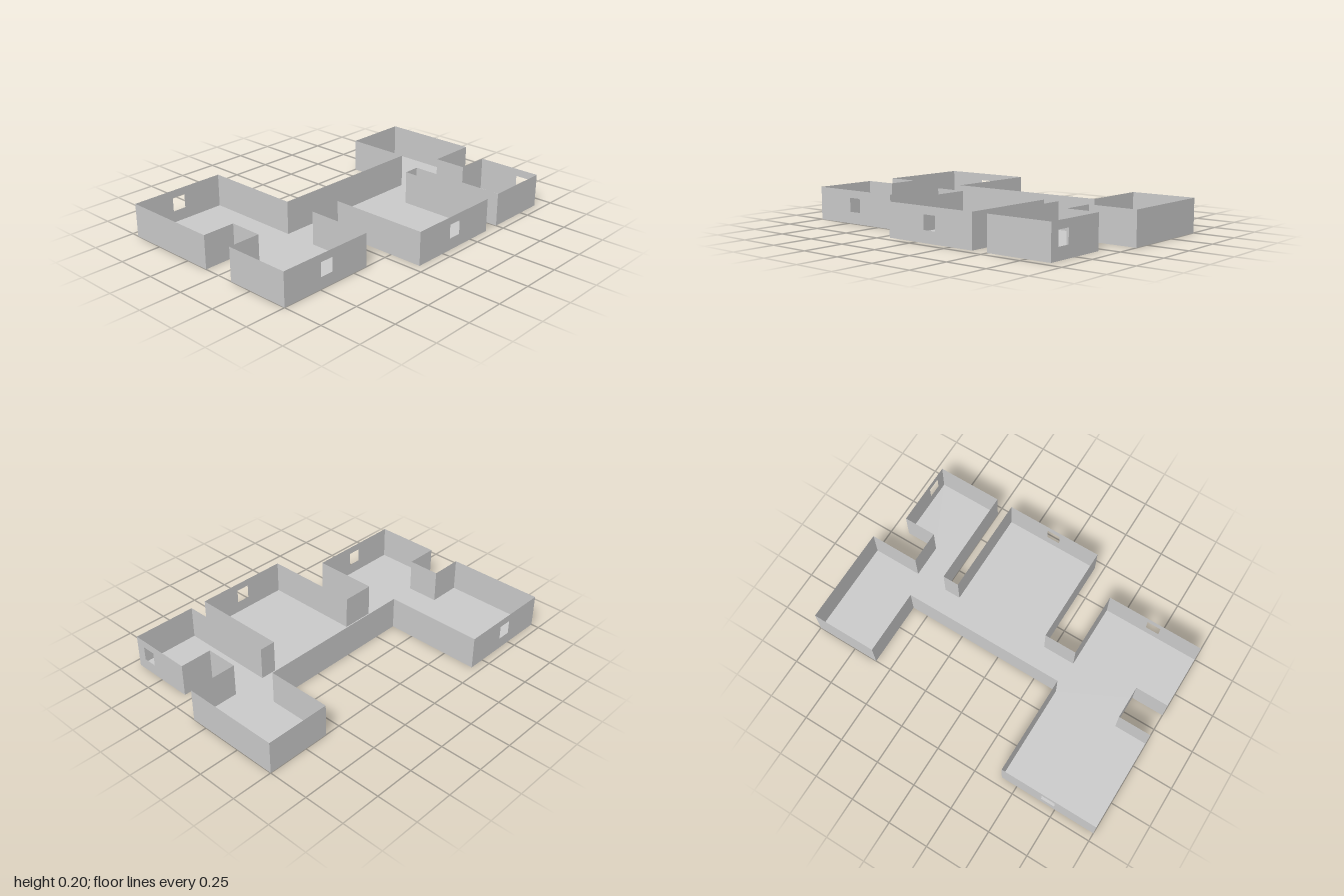
import * as THREE from 'three';

const HEIGHT = 0.2;

// Floor plan outline as [x, z] corners
const PLAN = [
  [-0.7, 1], [-0.1, 1], [-0.1, 0.8], [0.1, 0.8], [0.1, 1], [0.5, 1], // front room with entrance niche
  [0.5, 0.4], [0.1, 0.4], [0.1, 0.2],                                // corridor
  [0.7, 0.2], [0.7, -0.4], [0.1, -0.4], [0.1, -0.5],                 // middle room
  [0.7, -0.5], [0.7, -0.9], [0.3, -0.9], [0.3, -0.7], [0.1, -0.7],   // small back room
  [0.1, -1], [-0.5, -1], [-0.5, -0.6], [-0.1, -0.6],                 // back room
  [-0.1, 0.4], [-0.7, 0.4],
];

// Window centres [x, z] on the walls, and their opening
const WINDOWS = [[0.5, 0.7], [-0.7, 0.7], [0.7, -0.1], [0.6, -0.9]];
const WINDOW_HALF = 0.042;
const WINDOW_Y = 0.112;

// Closed rectangle as a list of points
function rect(x0, y0, x1, y1) {
  return [[x0, y0], [x1, y0], [x1, y1], [x0, y1]].map(([x, y]) => new THREE.Vector2(x, y));
}

// Thin upright wall from a to b, pierced by any window centred on it
function makeWall(a, b, material) {
  const dx = b[0] - a[0], dz = b[1] - a[1];
  const length = Math.hypot(dx, dz);
  const shape = new THREE.Shape(rect(0, 0, length, HEIGHT));
  for (const [x, z] of WINDOWS) {
    const px = x - a[0], pz = z - a[1];
    const along = (px * dx + pz * dz) / length;
    const off = Math.abs(px * dz - pz * dx) / length;
    if (off < 0.001 && along > 0 && along < length) {
      shape.holes.push(new THREE.Path(rect(
        along - WINDOW_HALF, WINDOW_Y - WINDOW_HALF,
        along + WINDOW_HALF, WINDOW_Y + WINDOW_HALF)));
    }
  }
  const wall = new THREE.Mesh(new THREE.ShapeGeometry(shape), material);
  wall.position.set(a[0], 0, a[1]);
  wall.rotation.y = Math.atan2(-dz, dx);
  wall.name = 'wall';
  return wall;
}

export function createModel() {
  const model = new THREE.Group();
  model.name = 'floorPlan';
  const material = new THREE.MeshStandardMaterial({
    color: 0xcccccc, flatShading: true, side: THREE.DoubleSide,
  });

  // Floor
  const outline = new THREE.Shape(PLAN.map(([x, z]) => new THREE.Vector2(x, -z)));
  const floor = new THREE.Mesh(new THREE.ShapeGeometry(outline).rotateX(-Math.PI / 2), material);
  floor.name = 'floor';
  model.add(floor);

  // Walls around the whole outline
  const walls = new THREE.Group();
  walls.name = 'walls';
  PLAN.forEach((corner, i) => walls.add(makeWall(corner, PLAN[(i + 1) % PLAN.length], material)));
  model.add(walls);

  return model;
}
